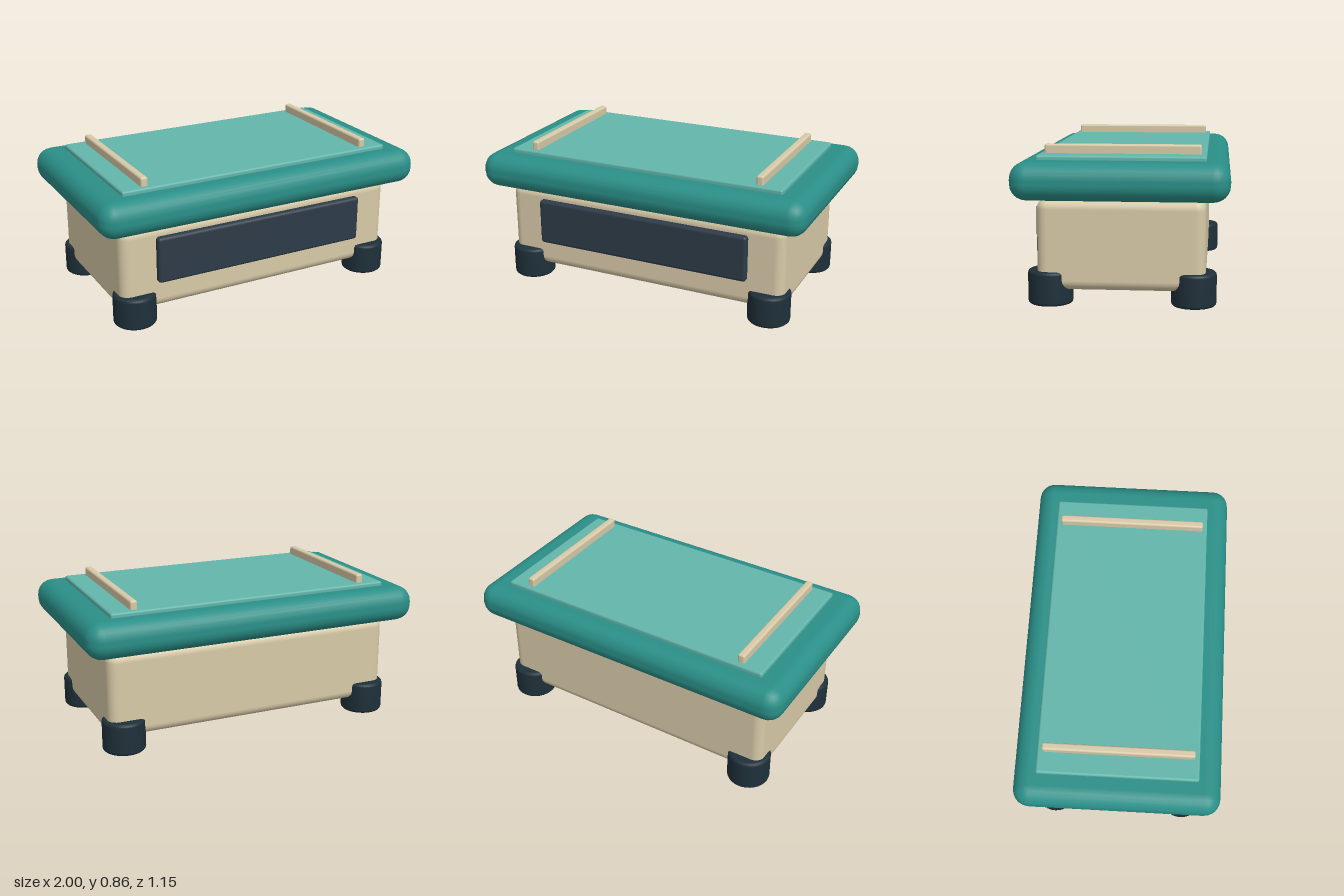
import * as THREE from 'three';
import { RoundedBoxGeometry } from 'three/addons/geometries/RoundedBoxGeometry.js';

const mat = (color) => new THREE.MeshStandardMaterial({ color });

export function createModel() {
  const model = new THREE.Group();
  const cream = mat(0xd8caa8);
  const teal = mat(0x2a8f88);
  const paleTeal = mat(0x62b5ab);
  const slate = mat(0x2d3b47);
  const rubber = mat(0x1f303a);

  const add = (name, geometry, material, x, y, z) => {
    const mesh = new THREE.Mesh(geometry, material);
    mesh.name = name;
    mesh.position.set(x, y, z);
    model.add(mesh);
  };

  // Rounded box given by its width, depth, bottom and top heights
  const box = (name, material, w, d, y0, y1, radius, x = 0, z = 0, segments = 3) =>
    add(name, new RoundedBoxGeometry(w, y1 - y0, d, segments, radius), material, x, (y0 + y1) / 2, z);

  // Body and overhanging lid
  box('body', cream, 1.728, 0.9, 0.085, 0.577, 0.055);
  box('lid', teal, 2, 1.152, 0.577, 0.782, 0.092);

  // Inset sheet on the lid and dark panel on the front
  box('topPlate', paleTeal, 1.68, 0.9, 0.772, 0.807, 0.012);
  box('frontPanel', slate, 1.312, 0.07, 0.245, 0.515, 0.018, 0, 0.45);

  // Rails across the top
  for (const side of [1, -1]) {
    box(side > 0 ? 'leftRail' : 'rightRail', cream, 0.042, 0.844, 0.785, 0.857, 0.012, side * 0.7);
  }

  // Round feet with softened rims
  const r = 0.122, h = 0.186, b = 0.018;
  const profile = [[0, 0], [r - b, 0]];
  for (let i = 1; i <= 3; i++) {
    const a = (i / 3) * Math.PI / 2;
    profile.push([r - b + b * Math.sin(a), b - b * Math.cos(a)]);
  }
  for (let i = 0; i <= 3; i++) {
    const a = (i / 3) * Math.PI / 2;
    profile.push([r - b + b * Math.cos(a), h - b + b * Math.sin(a)]);
  }
  profile.push([0, h]);
  const footGeometry = new THREE.LatheGeometry(profile.map(([x, y]) => new THREE.Vector2(x, y)), 32);
  for (const x of [1, -1]) {
    for (const z of [1, -1]) {
      const name = (z > 0 ? 'front' : 'back') + (x > 0 ? 'Left' : 'Right') + 'Foot';
      add(name, footGeometry, rubber, x * 0.768, 0, z * 0.387);
    }
  }

  return model;
}
